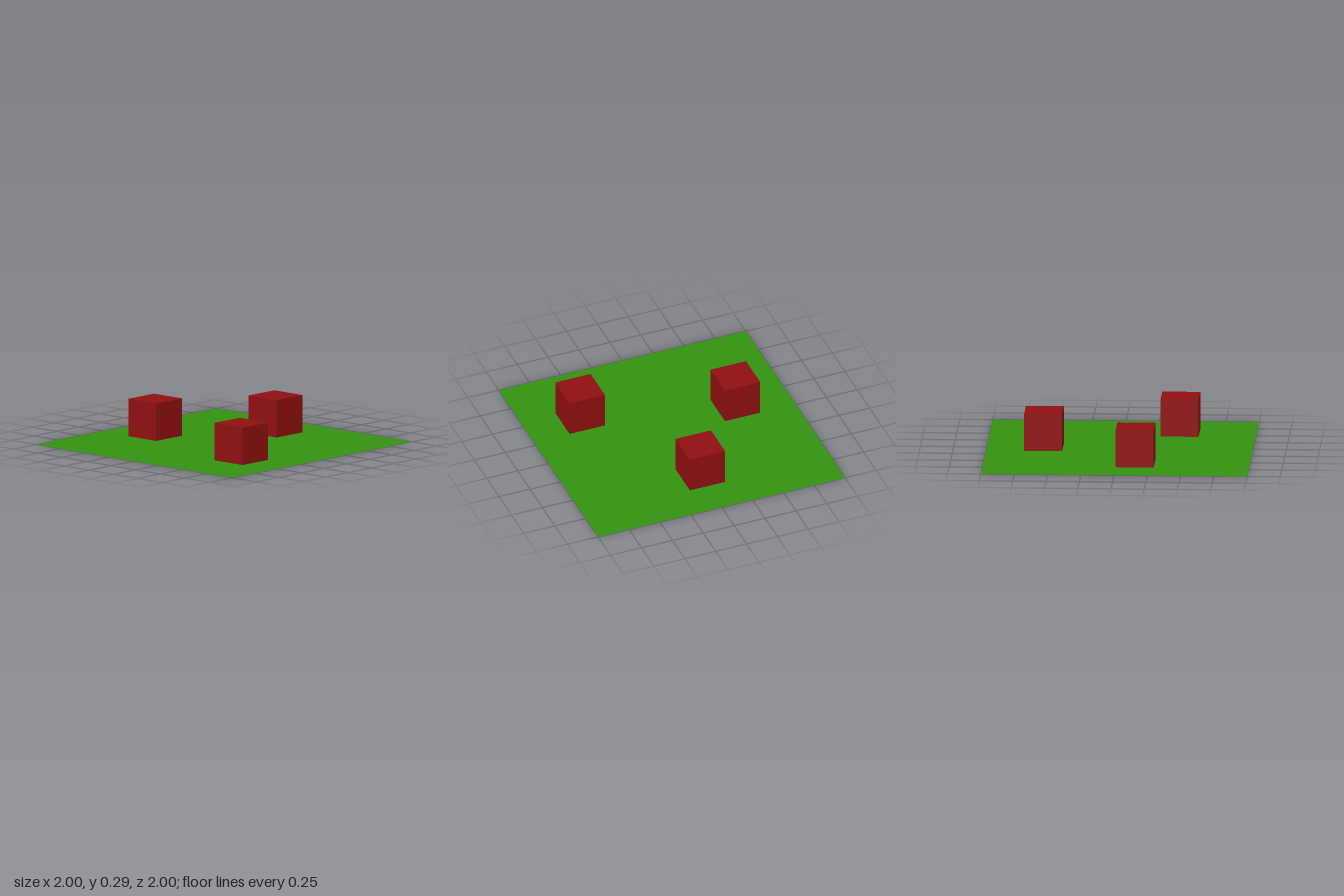
import * as THREE from 'three';

const UNIT = 2 / 7; // cube edge, seven cubes span the ground

export function createModel() {
  const model = new THREE.Group();
  model.name = 'cubesOnGround';

  // Flat square ground
  const ground = new THREE.Mesh(
    new THREE.PlaneGeometry(2, 2).rotateX(-Math.PI / 2),
    new THREE.MeshStandardMaterial({ color: 0x339311, side: THREE.DoubleSide })
  );
  ground.name = 'ground';
  model.add(ground);

  // Three equal cubes, placed in cube-edge steps [x, z]
  const cubeGeometry = new THREE.BoxGeometry(UNIT, UNIT, UNIT);
  const cubeMaterial = new THREE.MeshStandardMaterial({ color: 0x911010 });
  const places = { rightCube: [-2, 0.5], backCube: [0, -2], leftCube: [2, 1.5] };
  for (const [name, [x, z]] of Object.entries(places)) {
    const cube = new THREE.Mesh(cubeGeometry, cubeMaterial);
    cube.name = name;
    // A hair above the ground so the coplanar faces do not flicker
    cube.position.set(x * UNIT, UNIT / 2 + 0.002, z * UNIT);
    model.add(cube);
  }

  return model;
}
